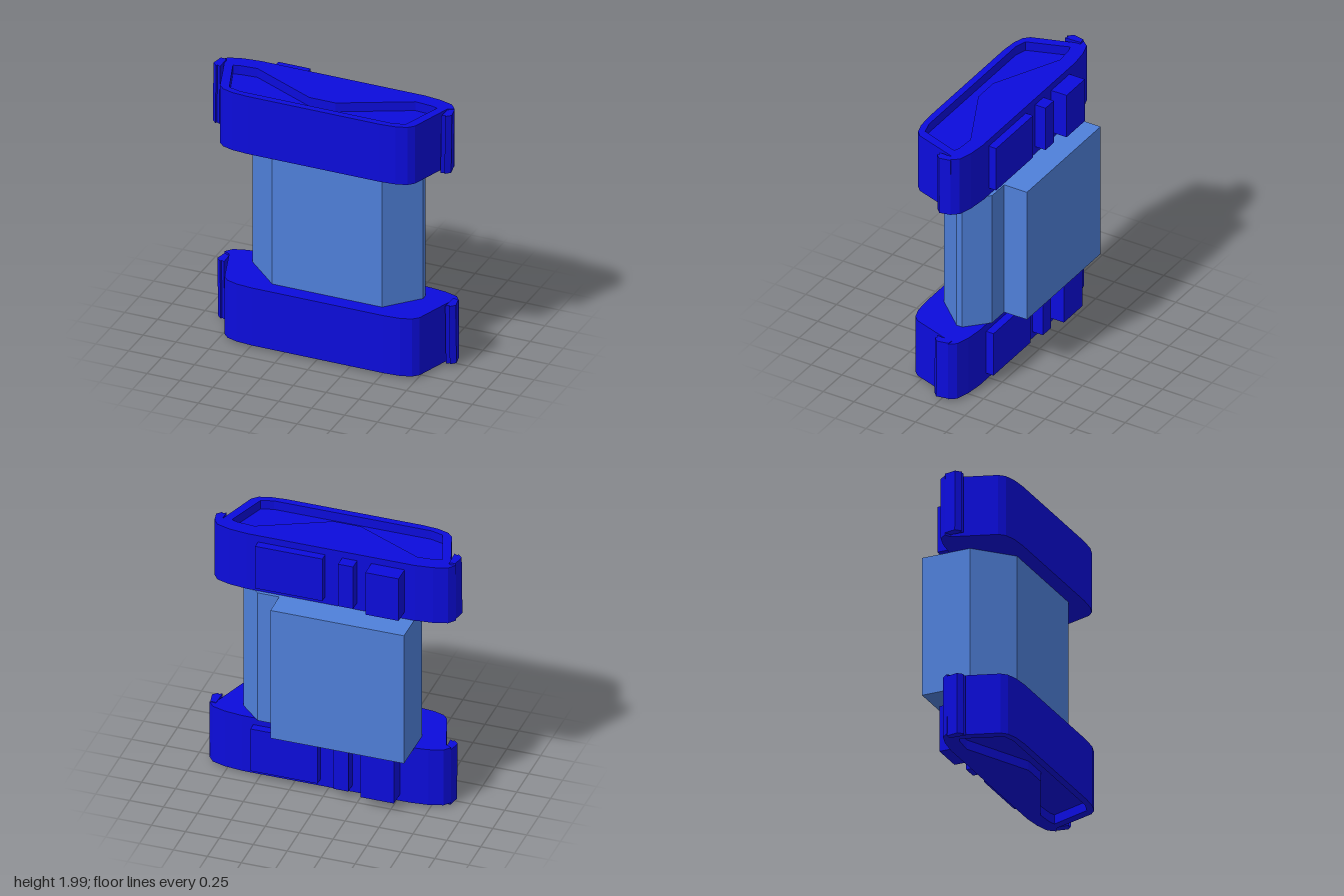
import * as THREE from 'three';

const capBlue = new THREE.MeshStandardMaterial({ color: 0x0c0cdc });
capBlue.name = 'deep blue';
const bodyBlue = new THREE.MeshStandardMaterial({ color: 0x4f80da });
bodyBlue.name = 'light blue';

// Upright prism from a plan outline of [x, z] points, between two heights
function prism(outline, y0, y1, hole) {
  const pts = (list) => list.map(([x, z]) => new THREE.Vector2(x, -z));
  const shape = new THREE.Shape(pts(outline));
  if (hole) shape.holes.push(new THREE.Path(pts(hole)));
  const [low, high] = [Math.min(y0, y1), Math.max(y0, y1)];
  const geo = new THREE.ExtrudeGeometry(shape, { depth: high - low, bevelEnabled: false });
  return geo.rotateX(-Math.PI / 2).translate(0, low, 0);
}

function add(group, name, geo, material) {
  const mesh = new THREE.Mesh(geo, material);
  mesh.name = name;
  group.add(mesh);
  return mesh;
}

const mirrored = (half) => [...half, ...half.map(([x, z]) => [-x, z]).reverse()];

// Plan outlines, given for the +x half from front to back
const capOutline = mirrored([
  [0.5, 0.36], [0.62, 0.35], [0.7, 0.325], [0.74, 0.285], [0.835, 0], [0.845, -0.03],
  [0.89, -0.055], [0.85, -0.105], [0.75, -0.135], [0.62, -0.15],
]);
const pocketOutline = mirrored([
  [0.58, 0.31], [0.67, 0.285], [0.775, -0.015], [0.73, -0.03], [0.6, -0.04], [0.1, 0.2],
]);
const hookOutline = [
  [0.845, -0.06], [0.84, 0.065], [0.865, 0.05], [0.87, 0.065], [0.905, 0.03], [0.888, -0.056],
];

// Blocks on the back of each cap: x range and rearmost z
const backBlocks = [
  ['backPanel', 0.04, 0.535, -0.21],
  ['backRib', -0.195, -0.085, -0.235],
  ['backBlock', -0.545, -0.3, -0.275],
];

function makeCap(name, x, upper) {
  const cap = new THREE.Group();
  cap.name = name;
  cap.position.x = x;
  const h = (y) => (upper ? y : 2.007 - y);

  // Solid part, then the outer rim around the pocket
  add(cap, 'capBase', prism(capOutline, h(1.53), h(1.915)), capBlue);
  add(cap, 'capRim', prism(capOutline, h(1.915), h(1.985), pocketOutline), capBlue);

  // Slightly tilted hooks at both ends
  const middle = h(1.7625);
  for (const side of [1, -1]) {
    const geo = prism(hookOutline.map(([px, z]) => [px * side, z]), h(1.535), h(1.99));
    geo.translate(0, -middle, 0).rotateZ(upper ? -0.012 : 0.012).translate(0, middle, 0);
    add(cap, side > 0 ? 'leftHook' : 'rightHook', geo, capBlue);
  }

  for (const [part, x0, x1, z] of backBlocks) {
    const geo = prism([[x0, -0.14], [x1, -0.14], [x1, z], [x0, z]], h(1.587), h(1.933));
    add(cap, part, geo, capBlue);
  }
  return cap;
}

export function createModel() {
  const model = new THREE.Group();
  model.name = 'model';

  // Central body with bevelled front and an offset rear box
  const bodyOutline = [
    [-0.38, 0.25], [0.455, 0.25], [0.665, 0.02], [0.665, -0.025], [0.51, -0.175],
    [0.35, -0.175], [0.35, -0.36], [-0.635, -0.36], [-0.635, 0.01],
  ];
  add(model, 'body', prism(bodyOutline, 0.477, 1.53), bodyBlue);

  model.add(makeCap('upperCap', -0.02, true));
  model.add(makeCap('lowerCap', 0.015, false));
  return model;
}
